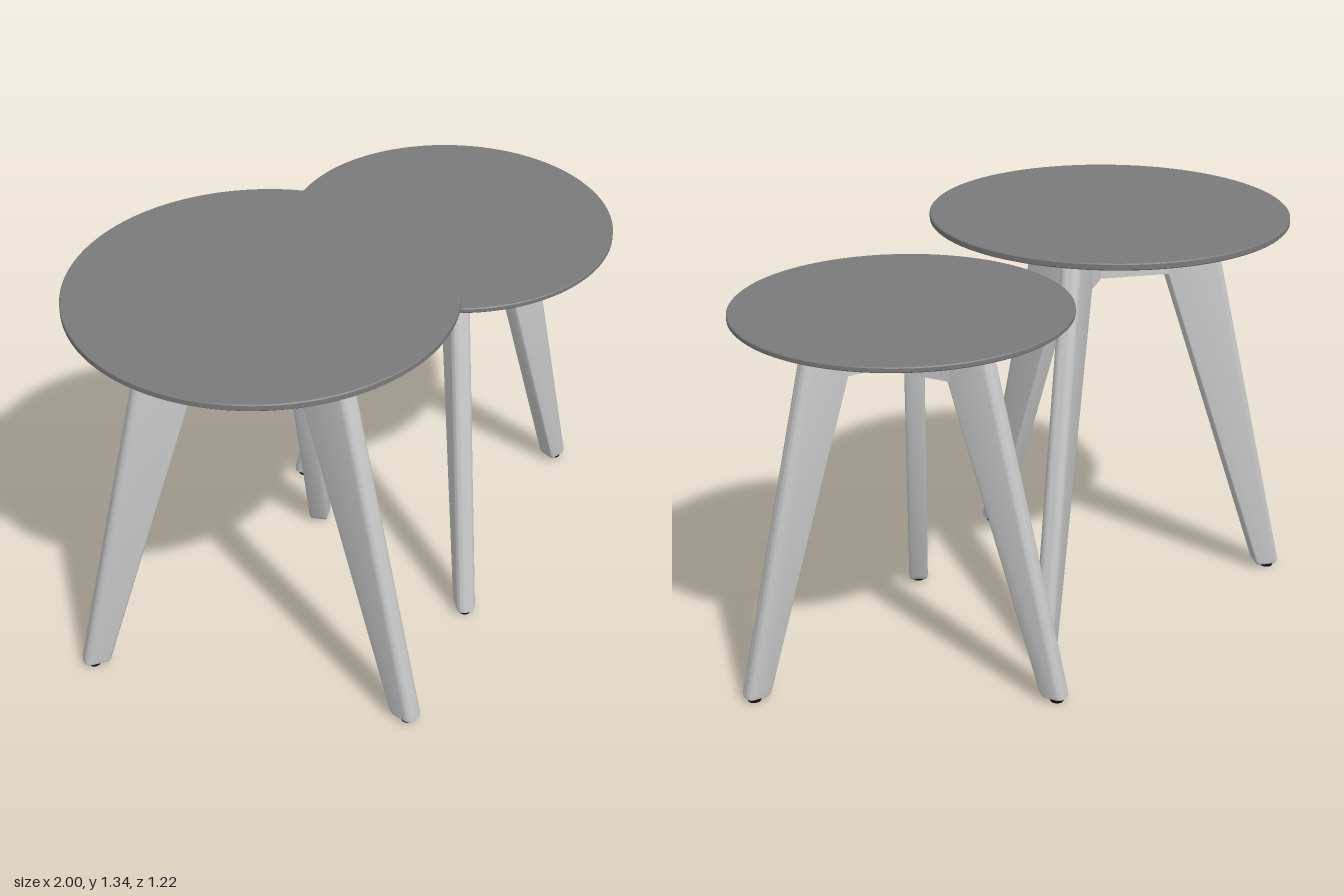
import * as THREE from 'three';
import { toCreasedNormals } from 'three/addons/utils/BufferGeometryUtils.js';

const wood = new THREE.MeshStandardMaterial({ color: 0xcccccc });
const topGrey = new THREE.MeshStandardMaterial({ color: 0x7a7a7a });
const black = new THREE.MeshStandardMaterial({ color: 0x111111 });

const HALF = 0.0325;   // half the thickness of a leg
const OFFSET = 0.035;  // sideways shift of each leg, so the three meet as a pinwheel

function add(parent, name, geometry, material, x = 0, y = 0, z = 0) {
  const mesh = new THREE.Mesh(geometry, material);
  mesh.name = name;
  mesh.position.set(x, y, z);
  parent.add(mesh);
  return mesh;
}

// Horizontal section of a leg: softly rounded outside, crisper inside
function section(inner, outer, y, inset = 0) {
  const ring = [], n = 6;
  const x0 = inner + inset, x1 = outer - inset, h = HALF - inset;
  const ro = 0.025 - inset, ri = 0.009 - inset * 0.5;
  const corners = [[x1 - ro, h - ro, ro], [x0 + ri, h - ri, ri],
    [x0 + ri, ri - h, ri], [x1 - ro, ro - h, ro]];
  corners.forEach(([cx, cz, r], k) => {
    for (let i = 0; i <= n; i++) {
      const a = (k + i / n) * Math.PI / 2;
      ring.push(new THREE.Vector3(cx + r * Math.cos(a), y, cz + r * Math.sin(a)));
    }
  });
  return ring;
}

// Skin over sections listed from top to bottom, closed at both ends
function loft(rings) {
  const n = rings[0].length, pos = [], idx = [];
  rings.flat().forEach((p) => pos.push(p.x, p.y, p.z));
  for (let i = 0; i < rings.length - 1; i++) {
    for (let j = 0; j < n; j++) {
      const a = i * n + j, b = i * n + (j + 1) % n;
      idx.push(a, b, a + n, b, b + n, a + n);
    }
  }
  const last = (rings.length - 1) * n;
  for (let j = 1; j < n - 1; j++) {
    idx.push(0, j + 1, j, last, last + j, last + j + 1);
  }
  const geo = new THREE.BufferGeometry();
  geo.setAttribute('position', new THREE.Float32BufferAttribute(pos, 3));
  geo.setIndex(idx);
  return toCreasedNormals(geo, 0.6);
}

// One leg with its arm, laid out along local +x
function makeLeg(t) {
  const leg = new THREE.Group();
  leg.name = 'leg';
  const { frameTop, knee, kneeX, shoulderX, footIn, footOut } = t;
  const outerAt = (y) => THREE.MathUtils.lerp(footOut, shoulderX, y / frameTop);
  const innerAt = (y) => THREE.MathUtils.lerp(footIn, kneeX, y / knee);

  add(leg, 'legPost', loft([
    section(kneeX, shoulderX, frameTop),
    section(kneeX, outerAt(knee), knee),
    section(innerAt(0.03), outerAt(0.03), 0.03),
    section(innerAt(0.017), outerAt(0.017), 0.017, 0.003),
    section(innerAt(0.012), outerAt(0.012), 0.012, 0.009),
  ]), wood, 0, 0, OFFSET);

  // Arm, its end cut at an angle to butt against the next arm
  const near = OFFSET - HALF, far = OFFSET + HALF;
  const cut = (s) => -(near + 0.5 * s) / 0.866;
  const plan = new THREE.Shape([[cut(near), near], [kneeX + 0.012, near],
    [kneeX + 0.012, far], [cut(far), far]].map(([x, y]) => new THREE.Vector2(x, y)));
  const armGeo = new THREE.ExtrudeGeometry(plan, { depth: frameTop - knee, bevelEnabled: false });
  armGeo.rotateX(Math.PI / 2);
  add(leg, 'arm', armGeo, wood, 0, frameTop, 0);

  // Screw heads, spacer under the top and glide under the foot
  t.screws.forEach((y) => {
    const screw = add(leg, 'screwHead', new THREE.CylinderGeometry(0.017, 0.017, 0.006, 20),
      black, 0.034, y, far);
    screw.rotation.x = Math.PI / 2;
  });
  const gap = t.topY - frameTop;
  add(leg, 'spacer', new THREE.CylinderGeometry(t.spacerR, t.spacerR, gap, 24), black,
    t.spacerX, frameTop + gap / 2, OFFSET);
  add(leg, 'footGlide', new THREE.CylinderGeometry(0.023, 0.021, 0.013, 20), black,
    (footIn + footOut) / 2, 0.0065, OFFSET);
  return leg;
}

function makeTable(name, t) {
  const table = new THREE.Group();
  table.name = name;
  table.position.set(t.x, 0, t.z);
  // Round top with a slightly eased rim
  const r = t.radius, e = 0.003, h = t.thick;
  const profile = [[0, 0], [r - e, 0], [r, e], [r, h - e], [r - e, h], [0, h]]
    .map(([x, y]) => new THREE.Vector2(x, y));
  add(table, 'tableTop', toCreasedNormals(new THREE.LatheGeometry(profile, 96), 0.5),
    topGrey, 0, t.topY, 0);
  for (let i = 0; i < 3; i++) {
    const leg = makeLeg(t);
    leg.rotation.y = -(t.angle + i * 120) * Math.PI / 180;
    table.add(leg);
  }
  return table;
}

export function createModel() {
  const model = new THREE.Group();
  model.name = 'nestingTables';
  model.add(makeTable('tallTable', {
    x: -0.415, z: -0.03, radius: 0.583, topY: 1.322, thick: 0.021, angle: 90,
    frameTop: 1.304, knee: 1.132, kneeX: 0.185, shoulderX: 0.342, footIn: 0.563, footOut: 0.648,
    screws: [1.255, 1.19], spacerX: 0.15, spacerR: 0.034,
  }));
  model.add(makeTable('lowTable', {
    x: 0.434, z: 0.006, radius: 0.522, topY: 1.186, thick: 0.017, angle: 9.3,
    frameTop: 1.17, knee: 1.015, kneeX: 0.185, shoulderX: 0.307, footIn: 0.505, footOut: 0.582,
    screws: [1.124, 1.063], spacerX: 0.135, spacerR: 0.032,
  }));
  return model;
}
